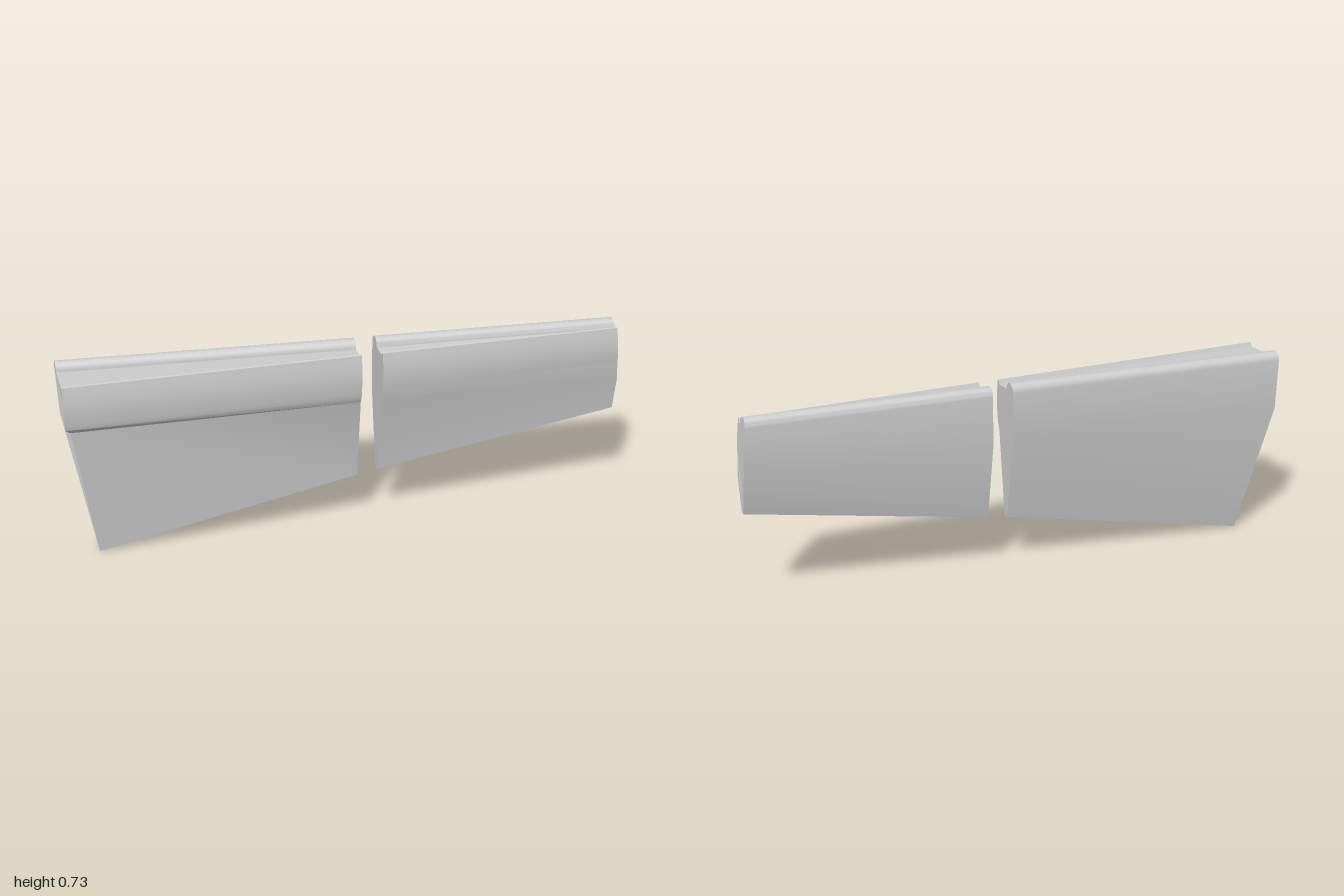
import * as THREE from 'three';
import { toCreasedNormals } from 'three/addons/utils/BufferGeometryUtils.js';

// Cross-section of a panel, running up the back, over the bead, along the
// channel floor, over the front lip and down the front to the lower edge.
function section({ back, front, step, creaseY, stepY, low, lowFront, lowY, xAt, stepShift = 0 }) {
  const pts = [[low, lowY], [back, 0.515]];
  const r = 0.027;
  for (let i = 0; i <= 12; i++) { // rounded bead on the top back edge
    const a = Math.PI * (1 - i / 12);
    pts.push([back + r + r * Math.cos(a), 0.702 + 0.031 * Math.sin(a)]);
  }
  pts.push([front - 0.013, 0.7], [front - 0.006, 0.715], [front, 0.713]);
  for (let i = 1; i <= 8; i++) { // gently bulged front band
    const t = i / 8;
    pts.push([front + 0.008 * Math.sin(Math.PI * t), THREE.MathUtils.lerp(0.713, creaseY, t)]);
  }
  const stepIndex = pts.length;
  pts.push([step, stepY], [lowFront, lowY]);
  return pts.map(([z, y], i) =>
    new THREE.Vector3(xAt(y) + (i === stepIndex ? stepShift : 0), y, z));
}

// Solid between two cross-sections, capped at both ends
function panel(name, a, b, material) {
  const pos = [];
  const tri = (...v) => v.forEach(p => pos.push(p.x, p.y, p.z));
  a.forEach((p, i) => {
    const j = (i + 1) % a.length;
    tri(p, b[j], b[i]);
    tri(p, a[j], b[j]);
  });
  const cap = (ring, flip) => {
    // seen from +x the outline runs clockwise or not; make it consistent
    const flat = ring.map(p => new THREE.Vector2(-p.z, p.y));
    for (const [i, j, k] of THREE.ShapeUtils.triangulateShape(flat, [])) {
      const area = (flat[j].x - flat[i].x) * (flat[k].y - flat[i].y)
        - (flat[k].x - flat[i].x) * (flat[j].y - flat[i].y);
      if ((area > 0) !== flip) tri(ring[i], ring[j], ring[k]);
      else tri(ring[i], ring[k], ring[j]);
    }
  };
  cap(a, true);
  cap(b, false);
  const geo = new THREE.BufferGeometry();
  geo.setAttribute('position', new THREE.Float32BufferAttribute(pos, 3));
  const mesh = new THREE.Mesh(toCreasedNormals(geo, 0.5), material);
  mesh.name = name;
  return mesh;
}

export function createModel() {
  const group = new THREE.Group();
  group.name = 'taperedPanels';
  const material = new THREE.MeshStandardMaterial({ color: 0xcccccc });

  // Wide panel: raked outer end, straight inner end
  const wideOuter = section({
    back: -0.143, front: 0.055, step: 0.028, creaseY: 0.55, stepY: 0.525,
    low: -0.043, lowFront: -0.023, lowY: 0, stepShift: 0.016,
    xAt: y => -1 + 0.09 * Math.max(0, 0.545 - y) / 0.545,
  });
  const wideInner = section({
    back: -0.032, front: 0.096, step: 0.085, creaseY: 0.55, stepY: 0.525,
    low: 0.022, lowFront: 0.042, lowY: 0.203, xAt: () => 0.035,
  });
  group.add(panel('widePanel', wideOuter, wideInner, material));

  // Narrow panel: straight inner end, slightly leaning outer end
  const narrowInner = section({
    back: -0.027, front: 0.1, step: 0.09, creaseY: 0.55, stepY: 0.525,
    low: 0.024, lowFront: 0.043, lowY: 0.215, xAt: () => 0.11,
  });
  const narrowOuter = section({
    back: 0.06, front: 0.136, step: 0.135, creaseY: 0.567, stepY: 0.51,
    low: 0.095, lowFront: 0.113, lowY: 0.376,
    xAt: y => y > 0.515 ? 0.977 + 0.019 * (0.733 - y) / 0.218 : 0.996,
  });
  group.add(panel('narrowPanel', narrowInner, narrowOuter, material));
  return group;
}
